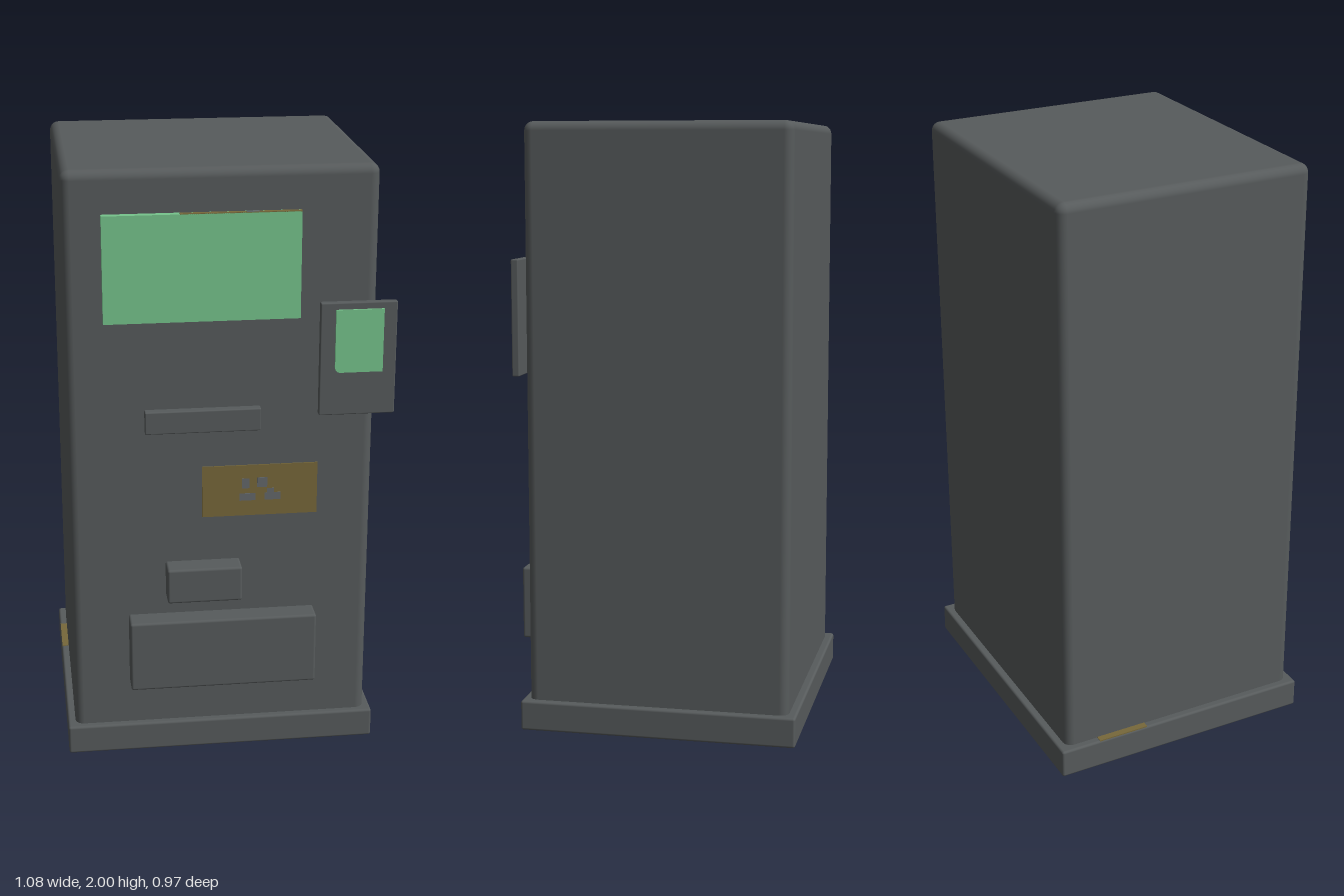
import * as THREE from 'three';
import { RoundedBoxGeometry } from 'three/addons/geometries/RoundedBoxGeometry.js';

const material = (name, color) => {
  const m = new THREE.MeshStandardMaterial({ color });
  m.name = name;
  return m;
};

export function createModel() {
  const group = new THREE.Group();
  group.name = 'kiosk';
  const casing = material('casing grey', 0x575b5c);
  const screen = material('screen green', 0x76c48c);
  const brass = material('keypad brown', 0x77683a);
  const keyGrey = material('key grey', 0x64686a);

  // Box given by its limits on each axis, with an optional rounded edge
  function box(name, mat, [x0, x1], [y0, y1], [z0, z1], radius = 0) {
    const size = [x1 - x0, y1 - y0, z1 - z0];
    const geometry = radius
      ? new RoundedBoxGeometry(...size, 3, radius)
      : new THREE.BoxGeometry(...size);
    const mesh = new THREE.Mesh(geometry, mat);
    mesh.name = name;
    mesh.position.set((x0 + x1) / 2, (y0 + y1) / 2, (z0 + z1) / 2);
    group.add(mesh);
    return mesh;
  }

  // Cabinet and plinth
  box('cabinet', casing, [-0.517, 0.477], [0.05, 2], [-0.46, 0.41], 0.03);
  box('plinth', casing, [-0.542, 0.501], [0, 0.1], [-0.486, 0.433], 0.008);
  box('plinthMark', brass, [-0.54, -0.516], [0.098, 0.102], [-0.345, -0.165]);

  // Main screen with a coloured strip on its top edge
  box('mainScreen', screen, [-0.395, 0.228], [1.52, 1.864], [0.4, 0.435]);
  box('screenTopStrip', brass, [-0.152, 0.228], [1.863, 1.866], [0.419, 0.435]);
  box('screenTopMark', keyGrey, [0.055, 0.095], [1.864, 1.867], [0.419, 0.435]);

  // Side terminal overhanging the cabinet edge
  box('terminal', casing, [0.293, 0.54], [1.19, 1.565], [0.41, 0.434], 0.004);
  const w = 0.155, h = 0.208, r = 0.02;
  const face = new THREE.Shape();
  face.moveTo(r, 0);
  face.lineTo(w, 0);
  face.lineTo(w, h);
  face.lineTo(0, h);
  face.lineTo(0, r);
  face.quadraticCurveTo(0, 0, r, 0);
  const terminalScreen = new THREE.Mesh(
    new THREE.ExtrudeGeometry(face, { depth: 0.007, bevelEnabled: false }), screen);
  terminalScreen.name = 'terminalScreen';
  terminalScreen.position.set(0.341, 1.335, 0.434);
  group.add(terminalScreen);

  // Card slot
  box('cardSlot', casing, [-0.27, 0.103], [1.155, 1.23], [0.422, 0.454], 0.004);

  // Keypad plate with keys
  box('keypad', brass, [-0.085, 0.293], [0.852, 1.028], [0.427, 0.431]);
  const keys = [
    [0.045, 0.07, 0.948, 0.982], [0.095, 0.128, 0.95, 0.984],
    [0.037, 0.09, 0.905, 0.93], [0.12, 0.172, 0.905, 0.93],
    [0.127, 0.15, 0.928, 0.945],
  ];
  for (const [x0, x1, y0, y1] of keys) {
    box('key', keyGrey, [x0, x1], [y0, y1], [0.43, 0.433]);
  }

  // Dispenser and collection tray
  box('dispenser', casing, [-0.205, 0.041], [0.57, 0.69], [0.4, 0.485], 0.008);
  box('tray', casing, [-0.33, 0.291], [0.256, 0.502], [0.4, 0.485], 0.008);

  return group;
}
